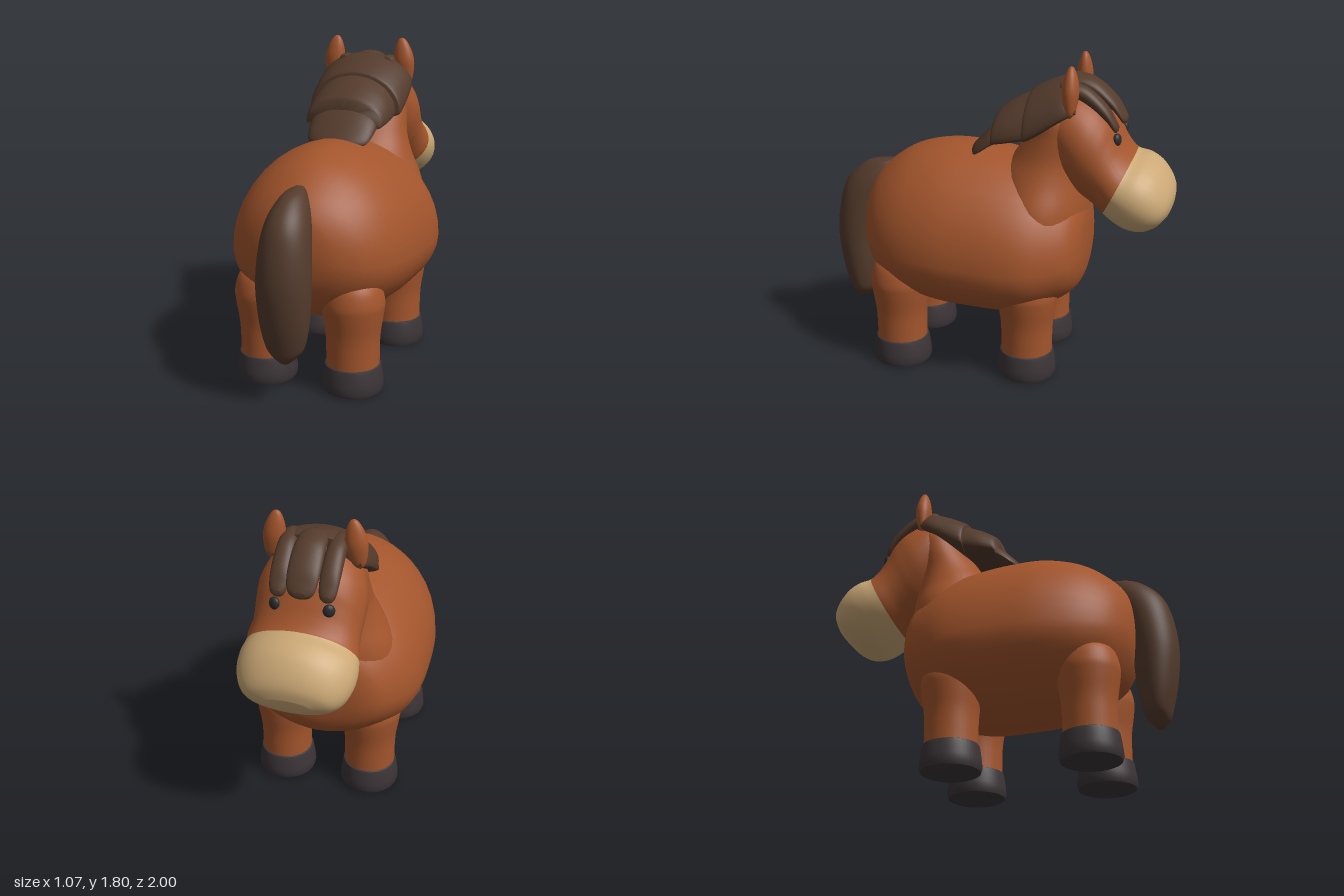
import * as THREE from 'three';
import { toCreasedNormals } from 'three/addons/utils/BufferGeometryUtils.js';

const material = (name, color) => new THREE.MeshStandardMaterial({ name, color });

// Catmull-Rom blend of whole stations (arrays of equal length)
function blend(rows, i, f) {
  const at = k => rows[Math.max(0, Math.min(rows.length - 1, k))];
  const [a, b, c, d] = [at(i - 1), at(i), at(i + 1), at(i + 2)];
  return b.map((_, k) => 0.5 * (2 * b[k] + (c[k] - a[k]) * f
    + (2 * a[k] - 5 * b[k] + 4 * c[k] - d[k]) * f * f
    + (3 * b[k] - a[k] - 3 * c[k] + d[k]) * f * f * f));
}

// Skin of rounded sections. Station: [t, upper, lower, halfWidth].
// place(t, x, u) sets a point; mid is the height of the widest line;
// from station "split" on, the second material is used.
function loft(rows, place, { mid = 0.5, power = 1, split = 0 } = {}) {
  const N = 40, STEPS = 5, pos = [], idx = [], rings = [];
  for (let i = 0; i < rows.length - 1; i++)
    for (let s = 0; s < STEPS; s++) rings.push(blend(rows, i, s / STEPS));
  rings.push(rows[rows.length - 1]);
  for (const [t, hi, lo, w] of rings) {
    const m = lo + (hi - lo) * mid;
    for (let j = 0; j < N; j++) {
      const a = j / N * Math.PI * 2, c = Math.cos(a), s = Math.sin(a);
      const x = Math.max(w, 0.002) * Math.sign(c) * Math.abs(c) ** power;
      pos.push(...place(t, x, m + s * (s > 0 ? hi - m : m - lo)));
    }
  }
  const last = (rings.length - 1) * N, first = pos.length / 3;
  for (const r of [rings[0], rings[rings.length - 1]])
    pos.push(...place(r[0], 0, (r[1] + r[2]) / 2));
  for (let j = 0; j < N; j++) idx.push(first, (j + 1) % N, j);
  for (let i = 0; i < rings.length - 1; i++)
    for (let j = 0; j < N; j++) {
      const a = i * N + j, b = i * N + (j + 1) % N;
      idx.push(a, b, a + N, b, b + N, a + N);
    }
  for (let j = 0; j < N; j++) idx.push(first + 1, last + j, last + (j + 1) % N);

  // Signed volume decides which way the faces must turn
  const P = k => new THREE.Vector3().fromArray(pos, k * 3);
  let volume = 0;
  for (let k = 0; k < idx.length; k += 3)
    volume += P(idx[k]).dot(P(idx[k + 1]).cross(P(idx[k + 2])));
  if (volume < 0)
    for (let k = 0; k < idx.length; k += 3) [idx[k], idx[k + 1]] = [idx[k + 1], idx[k]];

  const g = new THREE.BufferGeometry();
  g.setAttribute('position', new THREE.Float32BufferAttribute(pos, 3));
  g.setIndex(idx);
  if (split) {
    const cut = N * 3 + split * STEPS * N * 6;
    g.addGroup(0, cut, 0);
    g.addGroup(cut, idx.length - cut, 1);
  }
  g.computeVertexNormals();
  return g;
}

const alongZ = (t, x, u) => [x, u, t];
const alongY = (t, x, u) => [x, t, u];
const alongHead = (t, x, u) => [x, 1.35 - 0.43 * t + 0.9 * u, -0.45 - 0.9 * t - 0.43 * u];

function lathe(points) {
  const curve = new THREE.SplineCurve(points.map(p => new THREE.Vector2(...p)));
  const profile = curve.getPoints(30).map(p => p.set(Math.max(0, p.x), p.y));
  return new THREE.LatheGeometry(profile, 40);
}

export function createModel() {
  const model = new THREE.Group();
  model.name = 'horse';
  const coat = material('chestnutCoat', 0xa3552c);
  const hair = material('darkBrownHair', 0x543b2c);
  const cream = material('creamMuzzle', 0xcba876);
  const horn = material('charcoalHoof', 0x3b3436);
  const black = material('eyeBlack', 0x2b2b2e);

  const add = (name, geometry, mat, x = 0, y = 0, z = 0) => {
    const mesh = new THREE.Mesh(geometry, mat);
    mesh.name = name;
    mesh.position.set(x, y, z);
    model.add(mesh);
    return mesh;
  };

  // Barrel body, from rump to chest
  add('body', loft([
    [0.785, 0.88, 0.8, 0.03], [0.775, 0.96, 0.7, 0.12], [0.74, 1.05, 0.59, 0.24],
    [0.65, 1.15, 0.47, 0.37], [0.5, 1.25, 0.38, 0.465], [0.3, 1.3, 0.335, 0.52],
    [0.1, 1.295, 0.322, 0.535], [-0.1, 1.265, 0.32, 0.533], [-0.25, 1.22, 0.345, 0.505],
    [-0.38, 1.15, 0.41, 0.435], [-0.47, 1.08, 0.48, 0.355], [-0.515, 0.99, 0.57, 0.24],
    [-0.53, 0.88, 0.68, 0.08],
  ], alongZ, { mid: 0.4, power: 1.12 }), coat);

  // Neck rising out of the chest
  add('neck', loft([
    [0.7, 0, -0.5, 0.36], [0.85, 0, -0.52, 0.4], [1, 0, -0.522, 0.385], [1.15, -0.02, -0.51, 0.32],
    [1.27, -0.1, -0.5, 0.28], [1.4, -0.18, -0.52, 0.265], [1.5, -0.22, -0.54, 0.25],
    [1.58, -0.28, -0.54, 0.18],
  ], alongY), coat);

  // Head and muzzle in one skin, coloured in two parts
  add('headAndMuzzle', loft([
    [-0.25, 0.13, 0.03, 0.05], [-0.22, 0.21, -0.04, 0.15], [-0.13, 0.275, -0.12, 0.245],
    [0, 0.28, -0.2, 0.29], [0.1, 0.248, -0.245, 0.292], [0.17, 0.195, -0.258, 0.287],
    [0.24, 0.14, -0.268, 0.29], [0.315, 0.106, -0.288, 0.305], [0.39, 0.12, -0.305, 0.315],
    [0.47, 0.112, -0.308, 0.308], [0.55, 0.07, -0.278, 0.277], [0.605, 0.015, -0.215, 0.22],
    [0.632, -0.05, -0.14, 0.12],
  ], alongHead, { split: 7 }), [coat, cream]);

  // Overlapping mane pieces with crisp lower edges
  const manePieces = [
    [[0.145, 1.29, 1.25, 0.1], [0.1, 1.34, 1.255, 0.175], [0, 1.435, 1.32, 0.2], [-0.1, 1.47, 1.35, 0.19]],
    [[0, 1.49, 1.32, 0.225], [-0.02, 1.515, 1.325, 0.235], [-0.1, 1.565, 1.34, 0.25], [-0.2, 1.61, 1.36, 0.25]],
    [[-0.185, 1.61, 1.36, 0.265], [-0.2, 1.63, 1.36, 0.28], [-0.3, 1.68, 1.42, 0.285],
      [-0.4, 1.71, 1.49, 0.28], [-0.47, 1.7, 1.53, 0.25]],
  ];
  manePieces.forEach((rows, i) =>
    add('manePiece' + (i + 1), toCreasedNormals(loft(rows, alongZ, { mid: 0.18 }), 0.9), hair));

  // Forelock strands
  const strand = loft([
    [-0.4, 1.71, 1.66, 0.05], [-0.45, 1.72, 1.65, 0.075], [-0.55, 1.695, 1.6, 0.085],
    [-0.65, 1.61, 1.52, 0.085], [-0.7, 1.535, 1.46, 0.07], [-0.72, 1.5, 1.47, 0.03],
  ], alongZ);
  add('middleForelock', strand, hair);
  for (const side of [-1, 1])
    add('sideForelock', strand, hair, side * 0.13, -0.02, 0.03).scale.set(0.62, 1, 1);

  // Tail hanging behind
  add('tail', loft([
    [1.152, 0.7, 0.62, 0.02], [1.125, 0.81, 0.62, 0.06], [1.03, 0.92, 0.65, 0.108],
    [0.9, 0.975, 0.7, 0.135], [0.7, 1, 0.74, 0.148], [0.5, 0.98, 0.755, 0.138],
    [0.35, 0.945, 0.78, 0.11], [0.29, 0.925, 0.81, 0.07], [0.25, 0.89, 0.85, 0.025],
  ], alongY), hair);

  // Legs, hooves, ears and eyes
  const leg = lathe([[0.146, 0.12], [0.146, 0.22], [0.15, 0.33], [0.168, 0.45], [0.172, 0.52],
    [0.145, 0.61], [0.08, 0.655], [0, 0.67]]);
  const hoof = toCreasedNormals(new THREE.LatheGeometry([[0, 0], [0.145, 0], [0.162, 0.008], [0.17, 0.03],
    [0.167, 0.07], [0.158, 0.135], [0.153, 0.153], [0.143, 0.158], [0, 0.158]]
    .map(p => new THREE.Vector2(...p)), 40), 0.7);
  const ear = lathe([[0, -0.14], [0.035, -0.11], [0.056, -0.04], [0.06, 0.02], [0.045, 0.085],
    [0.022, 0.13], [0, 0.143]]);
  const eye = new THREE.SphereGeometry(1, 24, 16);
  for (const side of [-1, 1]) {
    for (const [name, z] of [['front', -0.225], ['rear', 0.53]]) {
      add(name + 'Leg', leg, coat, side * 0.255, 0, z);
      add(name + 'Hoof', hoof, horn, side * 0.255, 0, z);
    }
    const e = add('ear', ear, coat, side * 0.218, 1.66, -0.44);
    e.scale.z = 0.75;
    e.rotation.z = side * 0.12;
    const eyeMesh = add('eye', eye, black, side * 0.143, 1.4, -0.685);
    eyeMesh.scale.set(0.032, 0.037, 0.022);
    eyeMesh.rotation.y = -side * 0.35;
  }
  return model;
}
